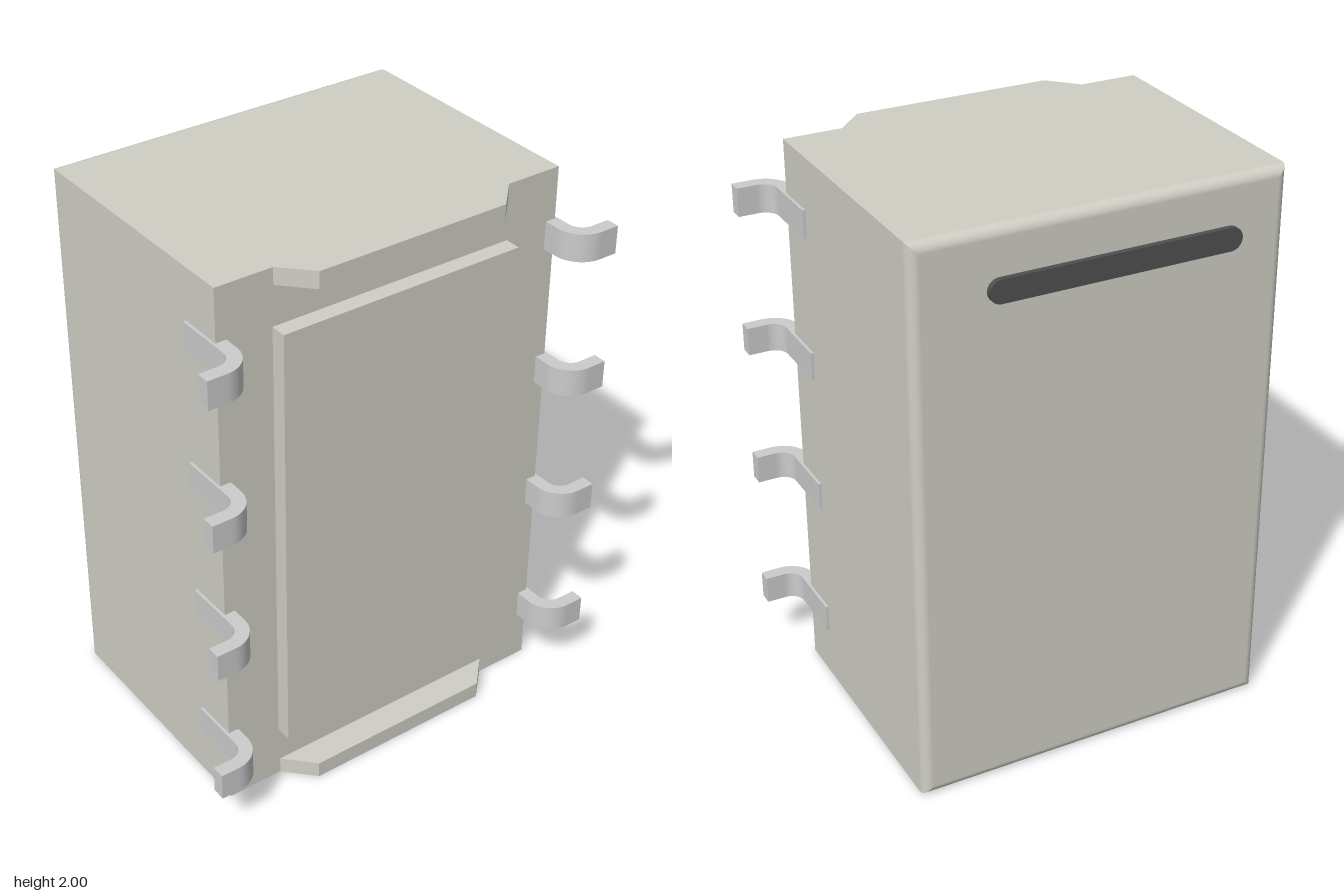
import * as THREE from 'three';

const bodyMat = new THREE.MeshStandardMaterial({ color: 0xcfcfc5 });
const pinMat = new THREE.MeshStandardMaterial({ color: 0xcccccc });
const markMat = new THREE.MeshStandardMaterial({ color: 0x505050 });

// Box whose back rim is rounded; every other edge stays sharp
function bodyGeometry(hx, hy, zFront, zBack, r, steps = 8) {
  const pos = [], nor = [];
  const quad = (p, n) => [0, 1, 2, 0, 2, 3].forEach(i => { pos.push(...p[i]); nor.push(...n[i]); });
  const rings = [{ z: zFront, inset: 0, a: 0 }];
  for (let i = 0; i <= steps; i++) {
    const a = (i / steps) * Math.PI / 2;
    rings.push({ z: zBack + r - r * Math.sin(a), inset: r * (1 - Math.cos(a)), a });
  }
  const signs = [[-1, -1], [1, -1], [1, 1], [-1, 1]];
  const sides = [[0, -1], [1, 0], [0, 1], [-1, 0]];
  const corner = (ring, k) => {
    const [sx, sy] = signs[k % 4];
    return [sx * (hx - ring.inset), sy * (hy - ring.inset), ring.z];
  };
  for (let i = 0; i < rings.length - 1; i++) {
    const A = rings[i], B = rings[i + 1];
    sides.forEach(([nx, ny], k) => {
      const normal = g => [nx * Math.cos(g.a), ny * Math.cos(g.a), -Math.sin(g.a)];
      quad([corner(A, k), corner(B, k), corner(B, k + 1), corner(A, k + 1)],
        [normal(A), normal(B), normal(B), normal(A)]);
    });
  }
  const first = rings[0], last = rings[rings.length - 1];
  quad([0, 1, 2, 3].map(k => corner(first, k)), Array(4).fill([0, 0, 1]));
  quad([3, 2, 1, 0].map(k => corner(last, k)), Array(4).fill([0, 0, -1]));
  const g = new THREE.BufferGeometry();
  g.setAttribute('position', new THREE.Float32BufferAttribute(pos, 3));
  g.setAttribute('normal', new THREE.Float32BufferAttribute(nor, 3));
  return g;
}

// Extrudes a shape drawn in (x, z) along y, centred on y = 0
function extrudeY(shape, height) {
  const g = new THREE.ExtrudeGeometry(shape, { depth: height, bevelEnabled: false, curveSegments: 10 });
  return g.translate(0, 0, -height / 2).rotateX(Math.PI / 2);
}

// Bent strip outline of a surface-mount pin
function pinShape(side) {
  const cx = 0.712, cz = 0.455, ro = 0.1, ri = 0.052;
  const s = new THREE.Shape();
  s.moveTo(side * (cx - ri), 0.24);
  s.lineTo(side * (cx - ro), 0.24);
  s.lineTo(side * (cx - ro), cz);
  const right = side > 0;
  s.absarc(side * cx, cz, ro, right ? Math.PI : 0, Math.PI / 2, right);
  s.lineTo(side * 0.78, cz + ro);
  s.lineTo(side * 0.78, cz + ri);
  s.lineTo(side * cx, cz + ri);
  s.absarc(side * cx, cz, ri, Math.PI / 2, right ? Math.PI : 0, !right);
  s.closePath();
  return s;
}

export function createModel() {
  const model = new THREE.Group();
  const add = (name, geo, mat, x, y, z) => {
    const m = new THREE.Mesh(geo, mat);
    m.name = name;
    m.position.set(x, y, z);
    model.add(m);
  };

  // Housing and raised front panel
  add('housing', bodyGeometry(0.65, 1, 0.4, -0.54, 0.035), bodyMat, 0, 1, 0);
  add('frontPanel', new THREE.BoxGeometry(0.9, 1.6, 0.08), bodyMat, 0, 1, 0.418);

  // Chamfered ridges along the top and bottom of the front
  const ridge = new THREE.Shape([[-0.445, 0.4], [0.445, 0.4], [0.35, 0.498], [-0.35, 0.498]]
    .map(([x, z]) => new THREE.Vector2(x, z)));
  const ridgeGeo = extrudeY(ridge, 0.06);
  add('bottomRidge', ridgeGeo, bodyMat, 0, 0.03, 0);
  add('topRidge', ridgeGeo, bodyMat, 0, 1.97, 0);

  // Four pins on each side
  for (const side of [1, -1]) {
    const geo = extrudeY(pinShape(side), 0.1);
    [0.24, 0.75, 1.255, 1.765].forEach((y, i) =>
      add((side > 0 ? 'leftPin' : 'rightPin') + (i + 1), geo, pinMat, 0, y, 0));
  }

  // Dark rounded marker bar on the back
  const r = 0.04, bar = new THREE.Shape();
  bar.absarc(0.4 - r, 0, r, -Math.PI / 2, Math.PI / 2, false);
  bar.absarc(-0.48 + r, 0, r, Math.PI / 2, Math.PI * 1.5, false);
  bar.closePath();
  add('markerBar', new THREE.ExtrudeGeometry(bar, { depth: 0.03, bevelEnabled: false, curveSegments: 16 }),
    markMat, 0, 1.8, -0.559);

  return model;
}
